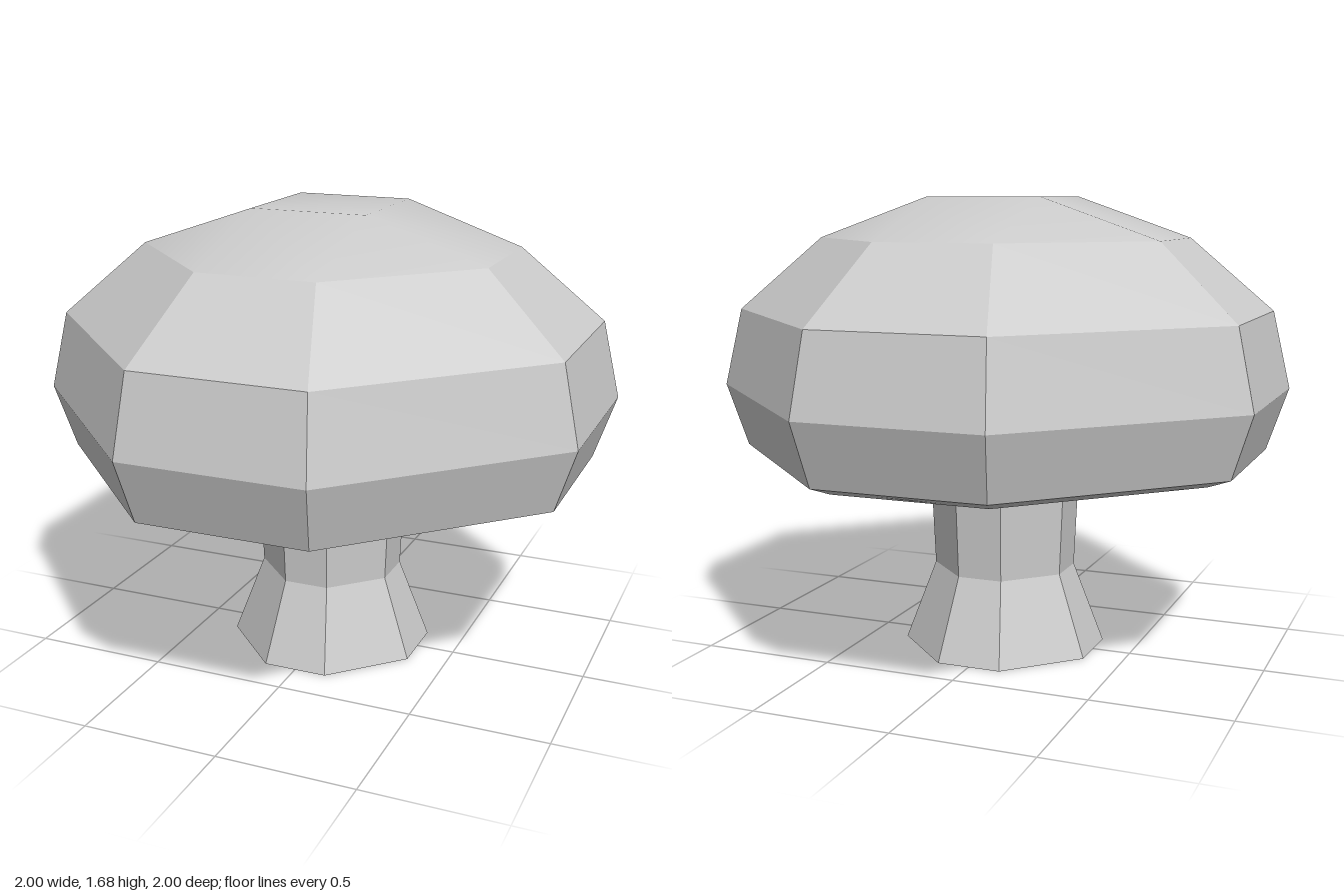
import * as THREE from 'three';
import { toCreasedNormals } from 'three/addons/utils/BufferGeometryUtils.js';

// Eight corners of a chamfered square: half-width a, half-length of the flat b
function ring([a, b, y]) {
  const corners = [[a, -b], [a, b], [b, a], [-b, a], [-a, b], [-a, -b], [-b, -a], [b, -a]];
  return corners.map(([x, z]) => new THREE.Vector3(x, y, z));
}

// Skin a stack of rings, listed from the underside outwards and up to the top
function loft(profile, crease) {
  const rings = profile.map(ring);
  const points = [];
  const triangle = (p, q, r) => {
    if (new THREE.Triangle(p, q, r).getArea() > 1e-7) points.push(p, q, r);
  };
  for (let k = 0; k < rings.length - 1; k++) {
    const low = rings[k], high = rings[k + 1];
    for (let i = 0; i < 8; i++) {
      const j = (i + 1) % 8;
      triangle(low[i], high[i], high[j]);
      triangle(low[i], high[j], low[j]);
    }
  }
  return toCreasedNormals(new THREE.BufferGeometry().setFromPoints(points), crease);
}

// Flat of each side is a third of the full width
const third = (w, y) => [w, w / 3, y];

export function createModel() {
  const group = new THREE.Group();
  const material = new THREE.MeshStandardMaterial({ color: 0xcccccc });
  const add = (name, profile, crease) => {
    const mesh = new THREE.Mesh(loft(profile, crease), material);
    mesh.name = name;
    group.add(mesh);
  };

  // Stem with flared foot and closed base
  add('stem', [[0, 0, 0], third(0.358, 0), third(0.25, 0.3), third(0.271, 0.79)], 0.3);

  // Gills: shallow recessed ceiling rising away from the stem
  add('gills', [third(0.25, 0.775), third(0.7, 0.86)], 0.05);

  // Rounded rim curling under the cap
  add('rim', [
    third(0.7, 0.86), third(0.75, 0.77), third(0.79, 0.728), third(0.84, 0.717), third(0.925, 0.75),
  ], 0.61);

  // Faceted sides of the cap
  add('capSides', [third(0.925, 0.75), third(1, 0.98), third(0.937, 1.265), third(0.645, 1.53)], 0.3);

  // Smooth crown closing on a small square
  add('crown', [third(0.645, 1.53), [0.215, 0.215, 1.678], [0, 0, 1.678]], 0.6);

  return group;
}
